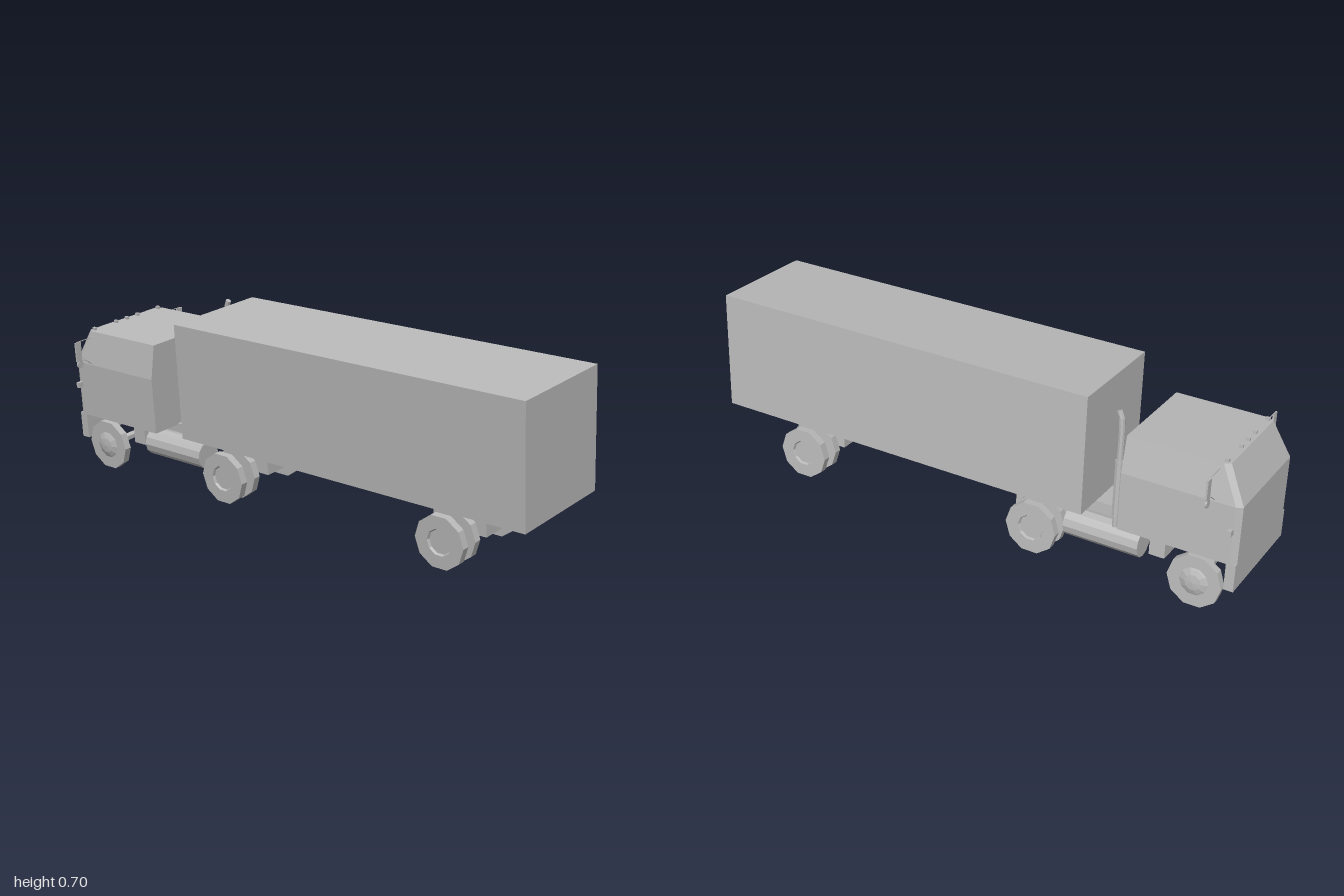
import * as THREE from 'three';
import { ConvexGeometry } from 'three/addons/geometries/ConvexGeometry.js';

const grey = new THREE.MeshStandardMaterial({ color: 0xb8b8b8, flatShading: true });
grey.name = 'plain grey';

export function createModel() {
  const truck = new THREE.Group();
  truck.name = 'truck';

  const add = (name, geometry, x = 0, y = 0, z = 0) => {
    const mesh = new THREE.Mesh(geometry, grey);
    mesh.name = name;
    mesh.position.set(x, y, z);
    truck.add(mesh);
    return mesh;
  };
  // Box given by its limits on each axis
  const box = (name, x0, x1, y0, y1, z0, z1) =>
    add(name, new THREE.BoxGeometry(x1 - x0, y1 - y0, z1 - z0), (x0 + x1) / 2, (y0 + y1) / 2, (z0 + z1) / 2);
  // Thin round bar between two points
  const bar = (name, a, b, radius) => {
    const from = new THREE.Vector3(...a), to = new THREE.Vector3(...b);
    const dir = to.clone().sub(from);
    const mesh = add(name, new THREE.CylinderGeometry(radius, radius, dir.length(), 6));
    mesh.position.copy(from).add(to).multiplyScalar(0.5);
    mesh.quaternion.setFromUnitVectors(new THREE.Vector3(0, 1, 0), dir.normalize());
  };

  // Trailer, frame and bumper
  box('trailerBody', -0.459, 0.98, 0.203, 0.627, -0.203, 0.203);
  box('chassis', -0.96, -0.16, 0.145, 0.2, -0.092, 0.092);
  box('frontBumper', -1.0, -0.967, 0.1, 0.197, -0.203, 0.203);

  // Cab: three levels with chamfered front corners
  const cabPoints = [];
  for (const [y, front, half] of [[0.195, -1.0, 0.206], [0.4, -1.0, 0.206], [0.523, -0.938, 0.182]]) {
    for (const s of [-1, 1]) {
      cabPoints.push(
        new THREE.Vector3(-0.592, y, s * half),
        new THREE.Vector3(front + 0.02, y, s * half),
        new THREE.Vector3(front, y, s * (half - 0.014)));
    }
  }
  add('cab', new ConvexGeometry(cabPoints));

  // Roof marker lights
  for (const z of [-0.163, -0.055, 0, 0.055, 0.163]) {
    box('roofLight', -0.928, -0.914, 0.52, 0.533, z - 0.005, z + 0.005);
  }

  // Ten-sided wheels: dished on both sides, or with a domed outer hub
  const R = 0.094, H = 0.0135, axleY = 0.091;
  const wheelGeometry = (domed) => {
    const outer = domed
      ? [[0.05, H], [0.044, H + 0.003], [0.028, H + 0.009], [0, H + 0.012]]
      : [[0.047, H], [0.043, H - 0.009], [0, H - 0.009]];
    const profile = [[0, -H + 0.009], [0.043, -H + 0.009], [0.047, -H], [R, -H], [R, H], ...outer];
    return new THREE.LatheGeometry(profile.map((p) => new THREE.Vector2(...p)), 10, Math.PI / 2)
      .rotateX(Math.PI / 2);
  };
  const dished = wheelGeometry(false), domed = wheelGeometry(true);
  for (const s of [-1, 1]) {
    const turn = s < 0 ? Math.PI : 0;
    add('frontWheel', domed, -0.866, axleY, s * 0.186).rotation.y = turn;
    for (const [name, x] of [['driveWheel', -0.275], ['trailerWheel', 0.66]]) {
      for (const z of [0.1235, 0.1895]) add(name, dished, x, axleY, s * z).rotation.y = turn;
    }
  }
  // Axles and suspension boxes
  for (const x of [-0.866, -0.275, 0.66]) bar('axle', [x, axleY, -0.178], [x, axleY, 0.178], 0.015);
  box('driveSuspension', -0.362, -0.157, 0.094, 0.203, -0.092, 0.092);
  box('trailerSuspension', 0.56, 0.765, 0.094, 0.203, -0.092, 0.092);

  for (const s of [-1, 1]) {
    // Fuel tank and battery box
    add('fuelTank', new THREE.CylinderGeometry(0.05, 0.05, 0.27, 12).rotateZ(Math.PI / 2), -0.527, 0.137, s * 0.147);
    add('batteryBox', new THREE.BoxGeometry(0.055, 0.075, 0.08), -0.72, 0.155, s * 0.13);

    // Side marker
    add('sideMarker', new THREE.BoxGeometry(0.014, 0.02, 0.024), -0.974, 0.314, s * 0.214);

    // Mirrors and their arms
    const mx = -0.908;
    add('mirror', new THREE.BoxGeometry(0.006, 0.072, 0.026), mx, 0.467, s * 0.263);
    add('roundMirror', new THREE.CylinderGeometry(0.014, 0.014, 0.006, 16).rotateZ(Math.PI / 2), mx, 0.418, s * 0.26);
    bar('mirrorArm', [mx, 0.504, s * 0.268], [mx, 0.504, s * 0.184], 0.0015);
    bar('mirrorArm', [mx, 0.431, s * 0.262], [mx, 0.431, s * 0.238], 0.0015);
    bar('mirrorArm', [mx, 0.431, s * 0.238], [mx, 0.402, s * 0.2], 0.0015);
  }

  // Single exhaust stack with a tip swept backwards
  const stackPath = new THREE.CatmullRomCurve3(
    [[-0.574, 0.19], [-0.574, 0.38], [-0.574, 0.56], [-0.571, 0.585], [-0.563, 0.603]]
      .map(([x, y]) => new THREE.Vector3(x, y, -0.185)));
  add('exhaustStack', new THREE.TubeGeometry(stackPath, 16, 0.01, 8)).material = grey;
  add('exhaustMuffler', new THREE.CylinderGeometry(0.014, 0.014, 0.2, 8), -0.574, 0.33, -0.185);
  add('exhaustCap', new THREE.CircleGeometry(0.01, 8).rotateX(-Math.PI / 2).rotateZ(-0.4), -0.563, 0.603, -0.185);

  // Whole truck rests at a slight tilt
  const model = new THREE.Group();
  model.name = 'tiltedTruck';
  const along = new THREE.Vector3(0.9995, -0.031, -0.012).normalize();
  const side = new THREE.Vector3(0.0086, -0.106, 0.994);
  const up = side.clone().cross(along).normalize();
  side.crossVectors(along, up);
  truck.quaternion.setFromRotationMatrix(new THREE.Matrix4().makeBasis(along, up, side));
  truck.position.set(0.0006, 0.0405, -0.059);
  model.add(truck);
  return model;
}
